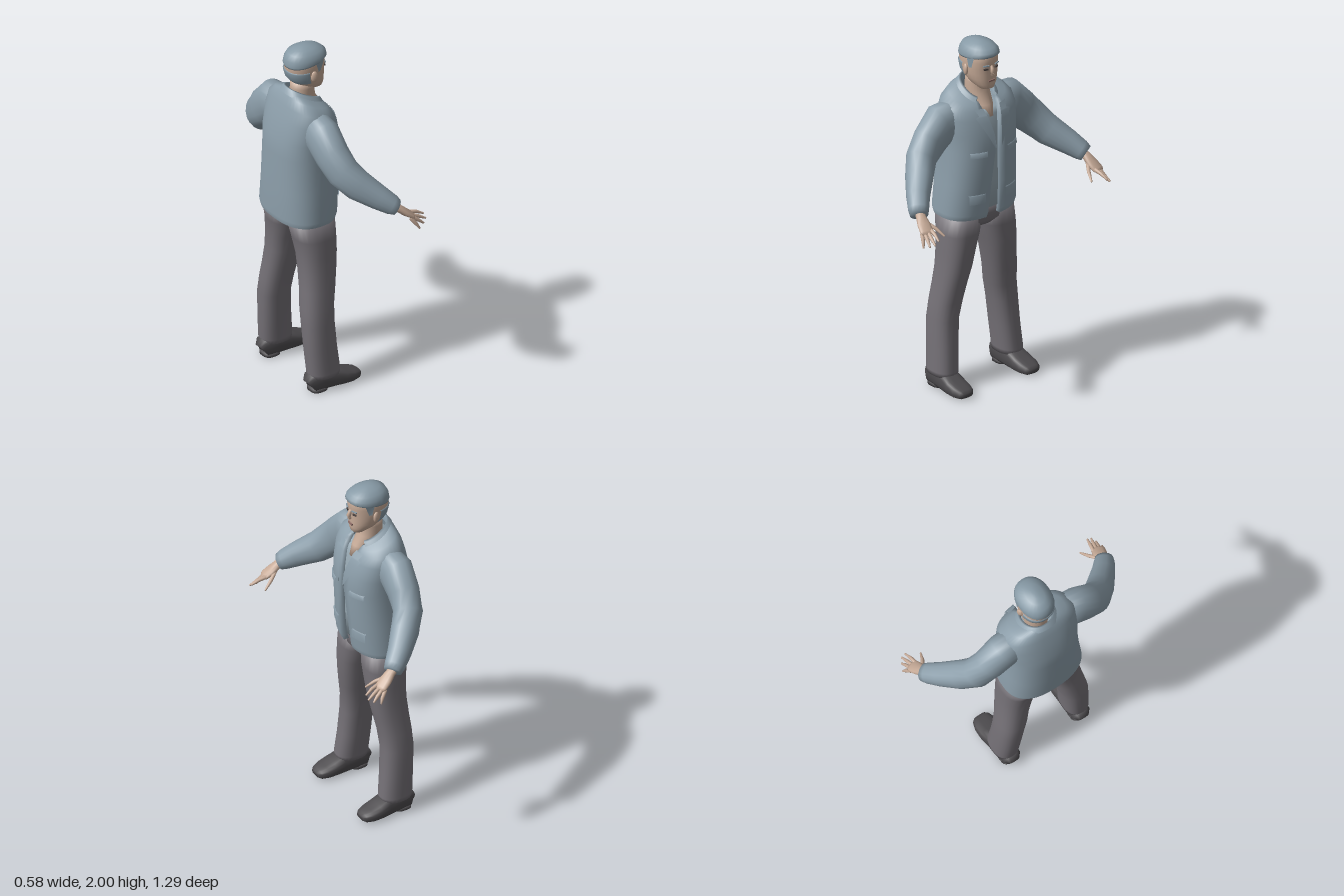
import * as THREE from 'three';

const mat = (name, color, side = THREE.FrontSide) => {
  const m = new THREE.MeshStandardMaterial({ color, side });
  m.name = name;
  return m;
};
const M = {
  jacket: mat('jacket cloth', 0x8d9fab, THREE.DoubleSide),
  shirt: mat('shirt cloth', 0x97a8b2),
  hair: mat('hair', 0x879aa6, THREE.DoubleSide),
  skin: mat('skin', 0xc7ab98),
  lip: mat('lips', 0x92706a),
  dark: mat('eyes', 0x4b4341),
  trousers: mat('trouser cloth', 0x757177),
  shoe: mat('shoe leather', 0x4d4b4e),
};
const V = (x, y, z) => new THREE.Vector3(x, y, z);
const pw = (c, p) => Math.sign(c) * Math.abs(c) ** (2 / p);

// Surface through rows of points; rows may close into rings and be capped
function skin(rows, closed = true, caps = closed) {
  const n = rows[0].length, pos = [], idx = [];
  rows.forEach(r => r.forEach(q => pos.push(q.x, q.y, q.z)));
  for (let i = 0; i < rows.length - 1; i++)
    for (let j = 0; j < (closed ? n : n - 1); j++) {
      const a = i * n + j, b = i * n + (j + 1) % n;
      idx.push(a, a + n, b, b, a + n, b + n);
    }
  if (caps) [0, rows.length - 1].forEach((r, top) => {
    const c = rows[r].reduce((s, q) => s.add(q), V(0, 0, 0)).divideScalar(n);
    const k = pos.length / 3;
    pos.push(c.x, c.y, c.z);
    for (let j = 0; j < n; j++) {
      const a = r * n + j, b = r * n + (j + 1) % n;
      top ? idx.push(a, k, b) : idx.push(b, k, a);
    }
  });
  const g = new THREE.BufferGeometry();
  g.setAttribute('position', new THREE.Float32BufferAttribute(pos, 3));
  g.setIndex(idx);
  g.computeVertexNormals();
  return g;
}

// Level ring: height, back x, front x, half width, centre z, tilt; may cover only an arc
function ring([y, x0, x1, hz, z = 0, t = 0], p = 2.2, n = 24, a0 = 0, a1 = Math.PI * 2) {
  const full = a1 - a0 > 6.28, xc = (x0 + x1) / 2, hx = (x1 - x0) / 2, out = [];
  for (let j = 0; j < (full ? n : n + 1); j++) {
    const a = a0 + (a1 - a0) * j / n, dx = hx * pw(Math.cos(a), p);
    out.push(V(xc + dx, y - t * dx, z + hz * pw(Math.sin(a), p)));
  }
  return out;
}

// Rings swept along a path: x, y, z, sideways radius, upright radius
function limb(path, s, n = 16, p = 2.2) {
  const pts = path.map(q => V(q[0], q[1], q[2] * s));
  return skin(path.map((q, i) => {
    const d = pts[Math.min(i + 1, pts.length - 1)].clone().sub(pts[Math.max(i - 1, 0)]).normalize();
    const u = d.clone().cross(V(0, 1, 0)).normalize(), v = u.clone().cross(d);
    return Array.from({ length: n }, (_, j) => {
      const a = j / n * Math.PI * 2;
      return pts[i].clone().addScaledVector(u, q[3] * pw(Math.cos(a), p)).addScaledVector(v, q[4] * pw(Math.sin(a), p));
    });
  }));
}

// Jacket rings, bottom to top, with half the front opening as the last value
const JACKET = [
  [1.0, -.283, .04, .228, 0, 0, .045], [1.03, -.29, .05, .235, 0, 0, .042], [1.2, -.287, .066, .222, 0, 0, .034],
  [1.4, -.284, .08, .212, 0, 0, .016], [1.5, -.278, .072, .218, 0, 0, .024], [1.6, -.25, .048, .225, 0, .08, .042],
  [1.66, -.228, .022, .212, 0, .22, .055], [1.695, -.208, .008, .165, 0, .4, .058], [1.712, -.19, 0, .1, 0, .5, .06],
];
const JP = 2.5;
function jacketAt(y) {
  let i = 0;
  while (i < JACKET.length - 2 && JACKET[i + 1][0] < y) i++;
  const a = JACKET[i], b = JACKET[i + 1], f = (y - a[0]) / (b[0] - a[0]);
  return a.map((v, k) => v + (b[k] - v) * f);
}
// Point on the jacket front, lifted by off
function front(y, z, off) {
  const [, x0, x1, hz, , t] = jacketAt(y), hx = (x1 - x0) / 2;
  const dx = hx * (1 - Math.min(1, Math.abs(z) / hz) ** JP) ** (1 / JP) + off;
  return V((x0 + x1) / 2 + dx, y - t * dx, z);
}

export function createModel() {
  const model = new THREE.Group();
  model.name = 'standingMan';
  const add = (name, geo, m) => {
    const mesh = new THREE.Mesh(geo, m);
    mesh.name = name;
    model.add(mesh);
    return mesh;
  };

  // Open jacket with edges folded inward
  add('jacketBody', skin(JACKET.map(r => {
    const a = Math.asin((r[6] / r[3]) ** (JP / 2));
    const row = ring(r, JP, 44, a, Math.PI * 2 - a);
    const fold = q => q.clone().add(V(-.03, 0, 0));
    return [fold(row[0]), ...row, fold(row[row.length - 1])];
  }), false), M.jacket);
  const arc = [.75, Math.PI * 2 - .75];
  add('jacketCollar', skin([
    [1.69, -.18, -.01, .075, 0, .5], [1.728, -.183, 0, .08, 0, .5], [1.725, -.192, .006, .092, 0, .5], [1.695, -.21, .016, .125, 0, .45],
  ].map(r => ring(r, 2.2, 28, ...arc)), false), M.jacket);

  // Shirt inside the jacket
  add('shirt', skin([1.045, 1.2, 1.4, 1.5, 1.6, 1.64].map(y => {
    const [, x0, x1, hz, , t] = jacketAt(y);
    return ring([y, x0 + .02, x1 - .024, hz - .02, 0, t], JP);
  })), M.shirt);

  // Trouser seat
  add('trouserSeat', skin([[.925, -.2, -.02, .09], [.96, -.232, .008, .2], [1.0, -.25, .012, .218], [1.06, -.25, .018, .205]]
    .map(r => ring(r, 2.5))), M.trousers);

  for (const s of [1, -1]) {
    const side = s > 0 ? 'left' : 'right';

    // Lapels and pocket flaps lie on the jacket front
    add(side + 'Lapel', skin([[1.42, .004], [1.5, .04], [1.58, .062], [1.62, .07], [1.63, .045], [1.68, .05]].map(([y, w]) => {
      const g = jacketAt(y)[6];
      return [0, .5, 1].map(f => front(y, s * (g + w * f), .012 - .004 * f));
    }), false), M.jacket);
    for (const [y, h] of [[1.1, .05], [1.38, .025]])
      add(side + 'PocketFlap', skin([y, y + h, y + h + .006].map((yy, i) =>
        [.07, .1, .13, .16].map(z => front(yy, s * z, [.009, .007, -.004][i]))), false), M.jacket);

    // Sleeve
    add(side + 'Sleeve', limb([
      [-.11, 1.57, .12, .085, .11], [-.118, 1.555, .23, .09, .118], [-.114, 1.48, .31, .083, .105], [-.096, 1.405, .385, .08, .094],
      [-.04, 1.335, .445, .076, .084], [.04, 1.27, .52, .064, .066], [.095, 1.228, .563, .056, .053], [.118, 1.212, .578, .05, .042],
    ], s, 18), M.jacket);

    // Hand with four fingers and thumb
    add(side + 'Palm', limb([
      [.09, 1.225, .56, .026, .022], [.13, 1.2, .575, .028, .021], [.165, 1.17, .583, .038, .019], [.2, 1.145, .593, .038, .014], [.212, 1.137, .597, .03, .008],
    ], s, 12), M.skin);
    const fingers = [
      [[.2, 1.15, .568], [.245, 1.14, .575], [.287, 1.118, .583]],
      [[.203, 1.142, .588], [.245, 1.122, .597], [.286, 1.1, .606]],
      [[.198, 1.137, .605], [.235, 1.108, .613], [.262, 1.085, .622]],
      [[.185, 1.137, .615], [.21, 1.1, .626], [.226, 1.072, .638]],
      [[.15, 1.175, .562], [.2, 1.145, .53], [.247, 1.112, .51]],
    ];
    fingers.forEach((f, i) => add(side + (i < 4 ? 'Finger' : 'Thumb'),
      limb(f.map((q, k) => [...q, [.011, .01, .005][k], [.011, .01, .005][k]]), s, 8), M.skin));

    // Trouser leg
    add(side + 'TrouserLeg', skin([
      [.085, -.203, -.022, .07, .224], [.11, -.207, -.02, .071, .224], [.25, -.217, -.035, .073, .214], [.4, -.225, -.045, .077, .204],
      [.5, -.222, -.038, .081, .187], [.6, -.213, -.02, .083, .172], [.7, -.208, -.003, .089, .154], [.8, -.212, .008, .095, .141],
      [.9, -.224, .012, .108, .123], [1.0, -.248, .012, .108, .112],
    ].map(([y, a, b, h, z]) => ring([y, a, b, h, z * s], 2.4))), M.trousers);

    // Shoe
    add(side + 'Shoe', limb([
      [-.207, .045, .222, .035, .03], [-.195, .055, .222, .052, .053], [-.13, .06, .222, .058, .058], [-.05, .053, .226, .062, .053],
      [0, .042, .229, .066, .041], [.05, .034, .23, .063, .033], [.09, .029, .229, .05, .025], [.106, .028, .229, .033, .014],
    ], s, 18, 2.9), M.shoe);
    add(side + 'ShoeHeel', skin([0, .02].map(y => ring([y, -.2, -.1, .05, .222 * s], 3))), M.shoe);

    // Ear, eye and brow
    const ear = add(side + 'Ear', new THREE.SphereGeometry(1, 12, 8), M.skin);
    ear.scale.set(.02, .033, .012);
    ear.position.set(-.078, 1.848, .092 * s);
    ear.rotation.y = -.3 * s;
    for (const [name, y, h, w, x] of [['Eye', 1.865, .009, .024, .024], ['Brow', 1.885, .006, .034, .026]]) {
      const b = add(side + name, new THREE.BoxGeometry(.008, h, w), name === 'Eye' ? M.dark : M.hair);
      b.position.set(x, y, .036 * s);
      b.rotation.y = -.35 * s;
    }
  }

  // Neck and head
  add('neck', skin([[1.58, -.14, .029, .05], [1.64, -.16, .008, .06], [1.7, -.163, -.025, .064], [1.76, -.16, -.03, .062], [1.8, -.16, -.02, .06]]
    .map(r => ring(r, 2.1))), M.skin);
  add('head', skin([
    [1.735, -.035, .008, .022], [1.743, -.06, .021, .042], [1.77, -.12, .027, .066], [1.8, -.158, .026, .08], [1.83, -.18, .027, .087],
    [1.865, -.19, .027, .09], [1.9, -.194, .032, .09], [1.93, -.19, .03, .087], [1.96, -.178, .018, .074], [1.985, -.13, -.02, .04],
  ].map(r => ring(r, 2.25))), M.skin);
  add('nose', limb([[.02, 1.885, 0, .007, .006], [.032, 1.865, 0, .009, .01], [.038, 1.845, 0, .014, .013], [.034, 1.828, 0, .014, .01]], 1, 10), M.skin);
  add('mouth', new THREE.BoxGeometry(.009, .009, .04), M.lip).position.set(.027, 1.792, 0);

  // Hair cap with a higher front line, and the band at the nape
  add('hairCap', skin([
    [1.915, -.196, .034, .093, 0, -.13], [1.925, -.2, .044, .097, 0, -.12], [1.95, -.195, .04, .092, 0, -.06], [1.975, -.178, .02, .076],
    [1.992, -.145, -.015, .048], [2.0, -.11, -.055, .018],
  ].map(r => ring(r, 2.2))), M.hair);
  add('napeHair', skin([[1.805, -.166, .028, .084], [1.83, -.186, .03, .092], [1.873, -.198, .03, .095], [1.878, -.19, .03, .09]]
    .map(r => ring(r, 2.25, 20, 1.75, Math.PI * 2 - 1.75)), false), M.hair);
  for (const s of [1, -1])
    add('sideburn', skin([[1.87, -.052, -.036], [1.9, -.06, -.025], [1.93, -.07, -.015]].map(([y, a, b]) =>
      [a, b].map((x, i) => V(x, y, s * (.094 - .006 * i)))), false), M.hair);

  return model;
}
